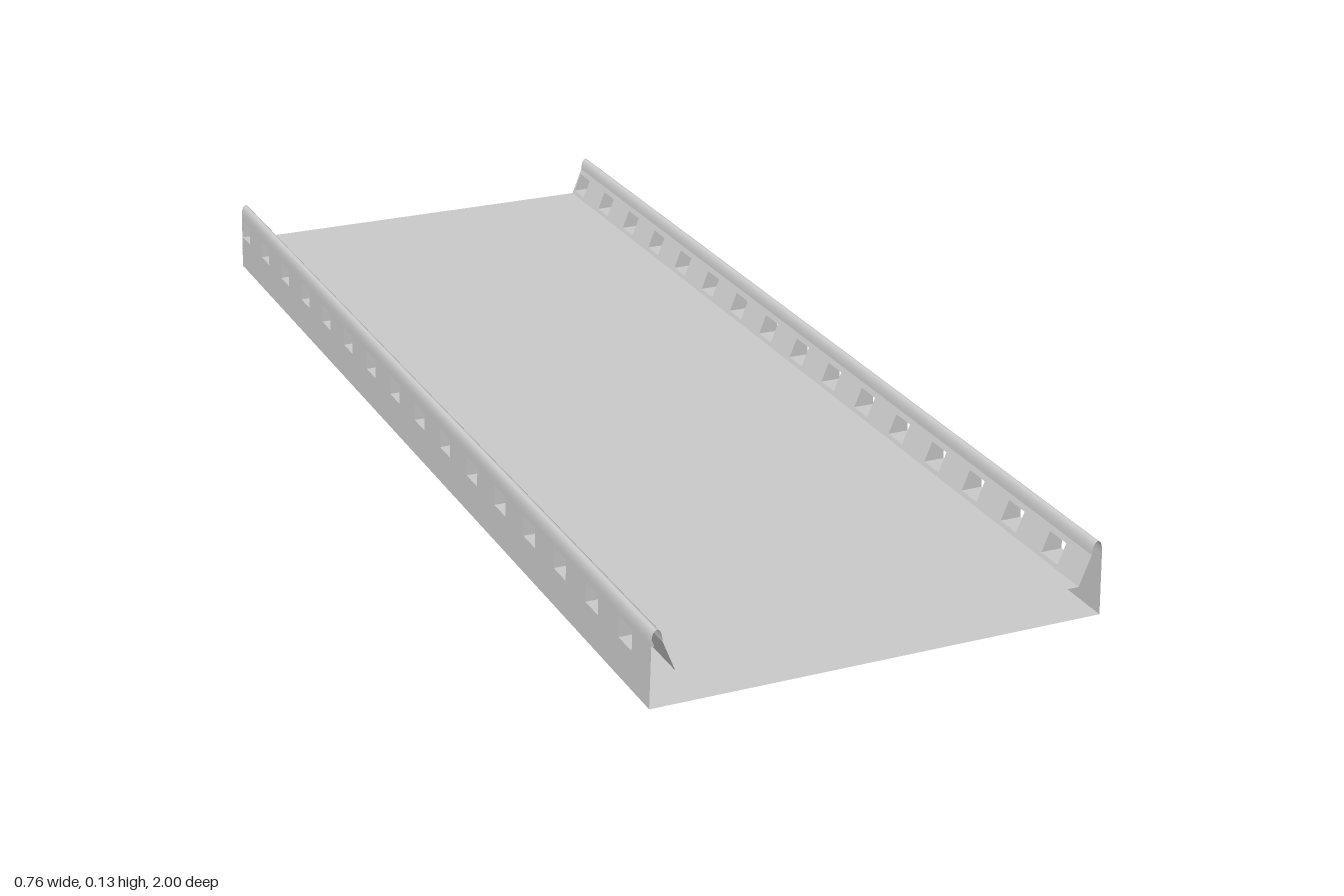
import * as THREE from 'three';

const LEN = 2;
const HALF = LEN / 2;
const FLOOR_Y = 0.055;
const ROLL_Y = 0.105;
const HOLE = { count: 16, first: 0.909, step: 0.1253, width: 0.048, low: 0.062, high: 0.096 };

// x of the outer wall and of the sloping inner flange at a given height
const wallX = (y) => 0.379 - 0.003 * (y / ROLL_Y);
const flangeX = (y) => 0.338 + 0.02 * ((y - FLOOR_Y) / (ROLL_Y - FLOOR_Y));

const material = new THREE.MeshStandardMaterial({ color: 0xcccccc, side: THREE.DoubleSide });

function part(name, geometry) {
  geometry.computeVertexNormals();
  const mesh = new THREE.Mesh(geometry, material);
  mesh.name = name;
  return mesh;
}

// Sheet swept along z from a list of [x, y] profile points
function sweep(profile, z0 = -HALF, z1 = HALF) {
  const pos = [];
  const index = [];
  profile.forEach(([x, y], i) => {
    pos.push(x, y, z0, x, y, z1);
    if (i > 0) {
      const a = 2 * (i - 1);
      index.push(a, a + 2, a + 1, a + 1, a + 2, a + 3);
    }
  });
  const g = new THREE.BufferGeometry();
  g.setAttribute('position', new THREE.Float32BufferAttribute(pos, 3));
  g.setIndex(index);
  return g;
}

function rectangle(path, z0, y0, z1, y1) {
  path.moveTo(z0, y0);
  path.lineTo(z1, y0);
  path.lineTo(z1, y1);
  path.lineTo(z0, y1);
  path.closePath();
  return path;
}

const holeCentres = Array.from({ length: HOLE.count }, (_, i) => HOLE.first - i * HOLE.step);

// Long sheet with a row of rectangular holes, leaned by xAt(y)
function perforatedSheet(y0, y1, xAt, side) {
  const shape = rectangle(new THREE.Shape(), -HALF, y0, HALF, y1);
  for (const z of holeCentres) {
    shape.holes.push(rectangle(new THREE.Path(), z - HOLE.width / 2, HOLE.low, z + HOLE.width / 2, HOLE.high));
  }
  const g = new THREE.ShapeGeometry(shape);
  const p = g.attributes.position;
  for (let i = 0; i < p.count; i++) {
    const z = p.getX(i);
    const y = p.getY(i);
    p.setXYZ(i, side * xAt(y), y, z);
  }
  return g;
}

// Four-sided sleeve joining a wall hole to its flange hole
function sleeve(z, side) {
  const za = z - HOLE.width / 2;
  const zb = z + HOLE.width / 2;
  const ring = [[HOLE.low, za], [HOLE.low, zb], [HOLE.high, zb], [HOLE.high, za]];
  const pos = [];
  ring.forEach(([y, w], i) => {
    const [y2, w2] = ring[(i + 1) % 4];
    const a = [side * wallX(y), y, w];
    const b = [side * wallX(y2), y2, w2];
    const c = [side * flangeX(y2), y2, w2];
    const d = [side * flangeX(y), y, w];
    pos.push(...a, ...b, ...c, ...a, ...c, ...d);
  });
  const g = new THREE.BufferGeometry();
  g.setAttribute('position', new THREE.Float32BufferAttribute(pos, 3));
  return g;
}

// Rounded top edge between outer wall and inner flange
function rolledEdge(side) {
  const outer = wallX(ROLL_Y);
  const inner = flangeX(ROLL_Y);
  const curve = new THREE.CubicBezierCurve(
    new THREE.Vector2(outer, ROLL_Y),
    new THREE.Vector2(outer, 0.134),
    new THREE.Vector2(inner + 0.001, 0.134),
    new THREE.Vector2(inner, ROLL_Y)
  );
  return sweep(curve.getPoints(12).map((p) => [side * p.x, p.y]));
}

export function createModel() {
  const model = new THREE.Group();
  model.name = 'perforatedTray';

  // Bottom sheet and raised floor; both ends are open
  const bottomX = wallX(0);
  const floorX = flangeX(FLOOR_Y);
  model.add(part('bottomSheet', sweep([[-bottomX, 0], [bottomX, 0]])));
  model.add(part('raisedFloor', sweep([[-floorX, FLOOR_Y], [floorX, FLOOR_Y]])));

  // Hollow side rails
  for (const side of [1, -1]) {
    const rail = new THREE.Group();
    rail.name = side > 0 ? 'leftRail' : 'rightRail';
    rail.add(part('outerWall', perforatedSheet(0, ROLL_Y, wallX, side)));
    rail.add(part('innerFlange', perforatedSheet(FLOOR_Y, ROLL_Y, flangeX, side)));
    rail.add(part('rolledEdge', rolledEdge(side)));
    for (const z of holeCentres) rail.add(part('holeSleeve', sleeve(z, side)));
    model.add(rail);
  }
  return model;
}
